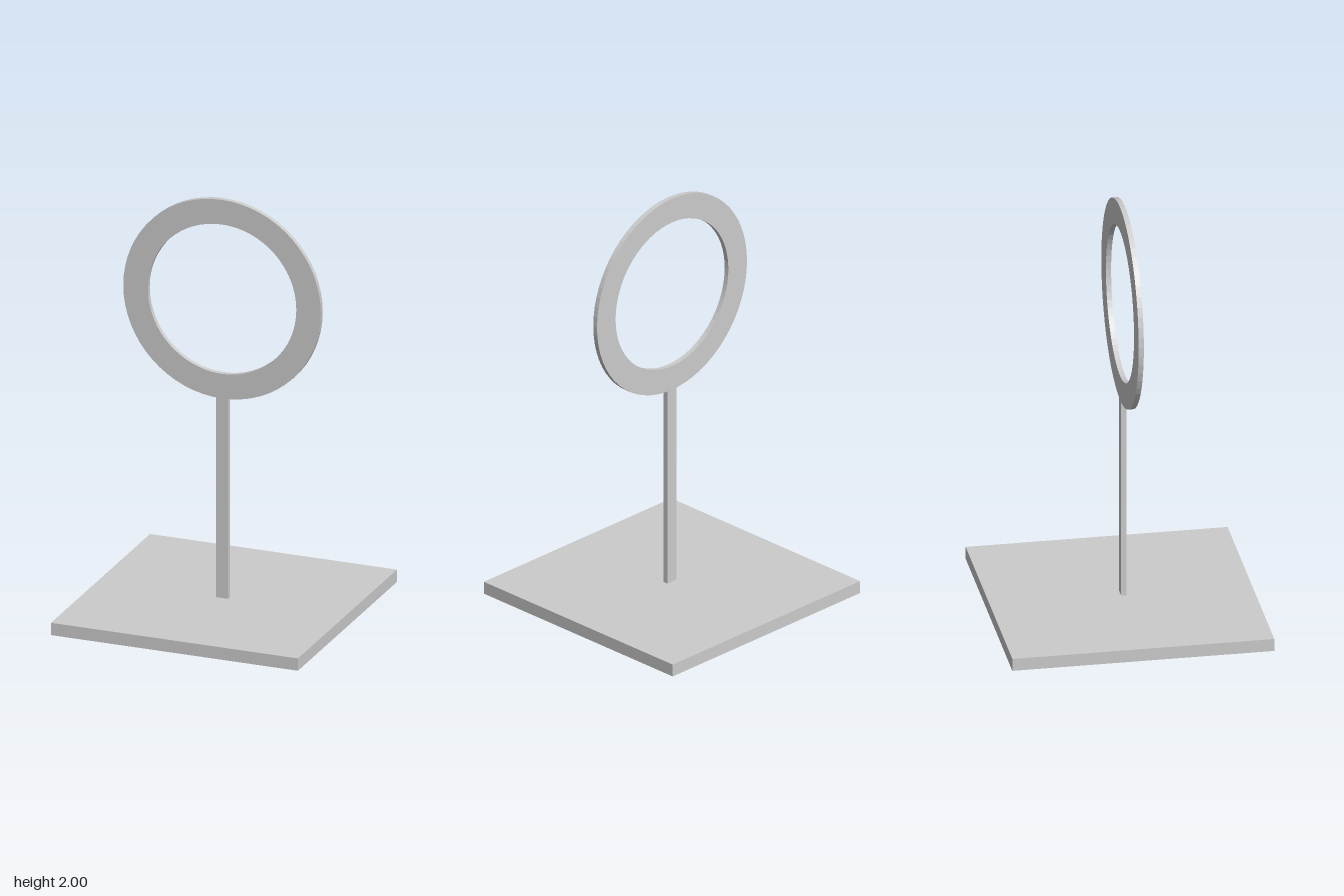
import * as THREE from 'three';

export function createModel() {
  const model = new THREE.Group();
  const material = new THREE.MeshStandardMaterial({ color: 0xcccccc });
  const thickness = 0.024;

  function addPart(name, geometry, x, y, z) {
    const mesh = new THREE.Mesh(geometry, material);
    mesh.name = name;
    mesh.position.set(x, y, z);
    model.add(mesh);
  }

  // Square base plate
  addPart('base', new THREE.BoxGeometry(1.21, 0.06, 1.21), 0, 0.03, 0);

  // Thin upright, its back face on the centre plane
  const postBottom = 0.06, postTop = 1.034;
  addPart('post', new THREE.BoxGeometry(0.06, postTop - postBottom, thickness),
    0, (postBottom + postTop) / 2, thickness / 2);

  // Flat ring with a round opening
  const outline = new THREE.Shape().absarc(0, 0, 0.484, 0, Math.PI * 2, false);
  outline.holes.push(new THREE.Path().absarc(0, 0, 0.364, 0, Math.PI * 2, true));
  const ring = new THREE.ExtrudeGeometry(outline, {
    depth: thickness, bevelEnabled: false, curveSegments: 32,
  });
  addPart('ring', ring, 0, 1.516, 0);

  return model;
}
